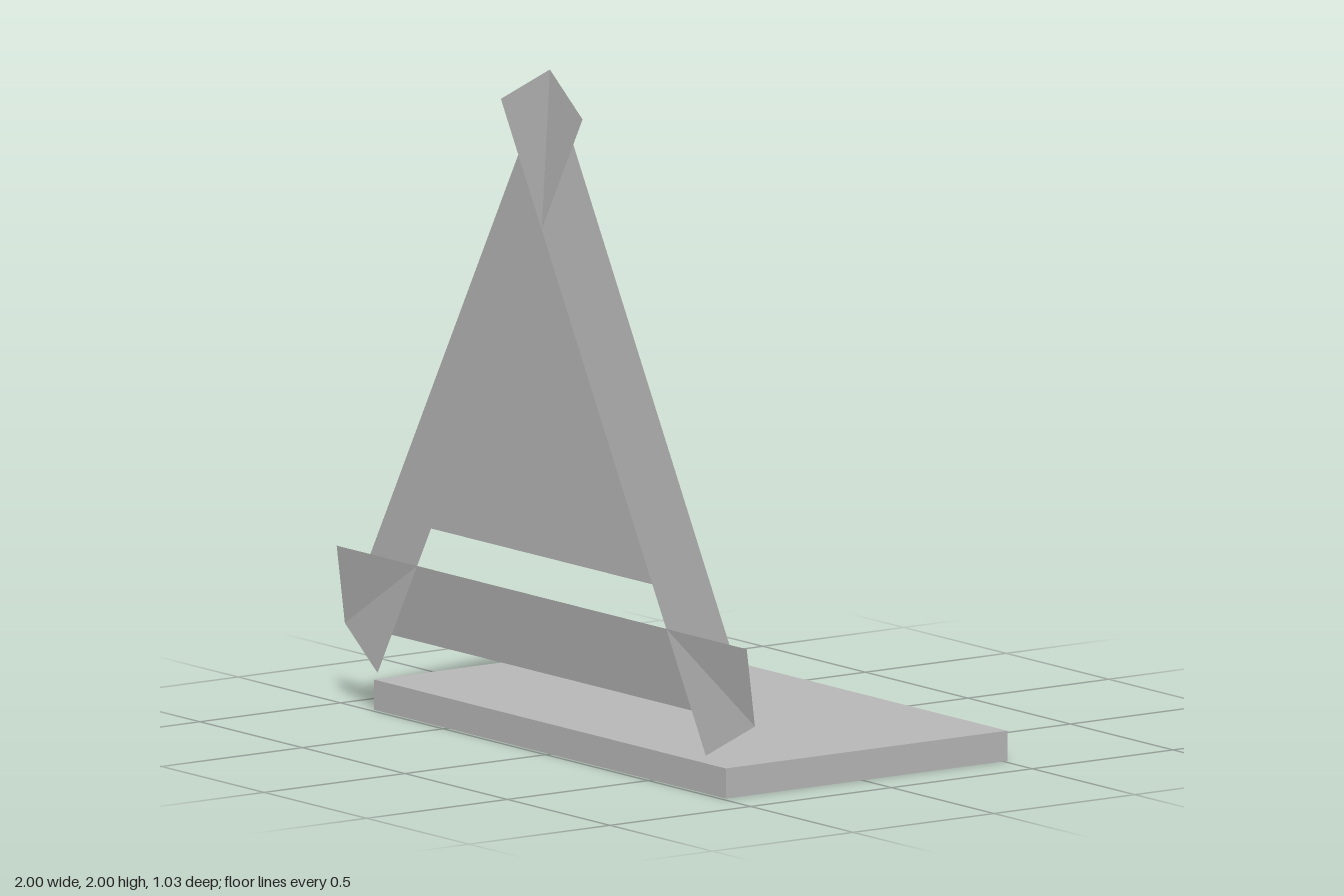
import * as THREE from 'three';

export function createModel() {
  const model = new THREE.Group();
  const grey = new THREE.MeshStandardMaterial({ color: 0xb8b8b8, side: THREE.DoubleSide });
  grey.name = 'plain grey';

  const add = (name, geometry) => {
    const mesh = new THREE.Mesh(geometry, grey);
    mesh.name = name;
    model.add(mesh);
    return mesh;
  };

  // Flat base slab
  add('base', new THREE.BoxGeometry(1.716, 0.088, 1.0)).position.set(0, 0.044, -0.015);

  // Frame bars: thin sheets along the outer triangle, tilted forward to the inside
  const width = 0.229, backZ = 0.485, frontZ = 0.514;
  const corners = [[-1, 0.232], [1, 0.232], [0, 2]];
  ['bottomBar', 'leftBar', 'rightBar'].forEach((name, i) => {
    const [ax, ay] = corners[i];
    const [bx, by] = corners[(i + 1) % 3];
    const length = Math.hypot(bx - ax, by - ay);
    const nx = -(by - ay) / length * width;
    const ny = (bx - ax) / length * width;
    const geometry = new THREE.BufferGeometry();
    geometry.setAttribute('position', new THREE.Float32BufferAttribute([
      ax, ay, backZ, bx, by, backZ,
      bx + nx, by + ny, frontZ, ax + nx, ay + ny, frontZ,
    ], 3));
    geometry.setIndex([0, 1, 2, 0, 2, 3]);
    geometry.computeVertexNormals();
    add(name, geometry);
  });

  // Triangular panel filling the upper part of the opening
  const panel = new THREE.Shape([
    new THREE.Vector2(-0.543, 0.58),
    new THREE.Vector2(0.543, 0.58),
    new THREE.Vector2(0, 1.54),
  ]);
  add('panel', new THREE.ShapeGeometry(panel)).position.z = 0.512;

  return model;
}
